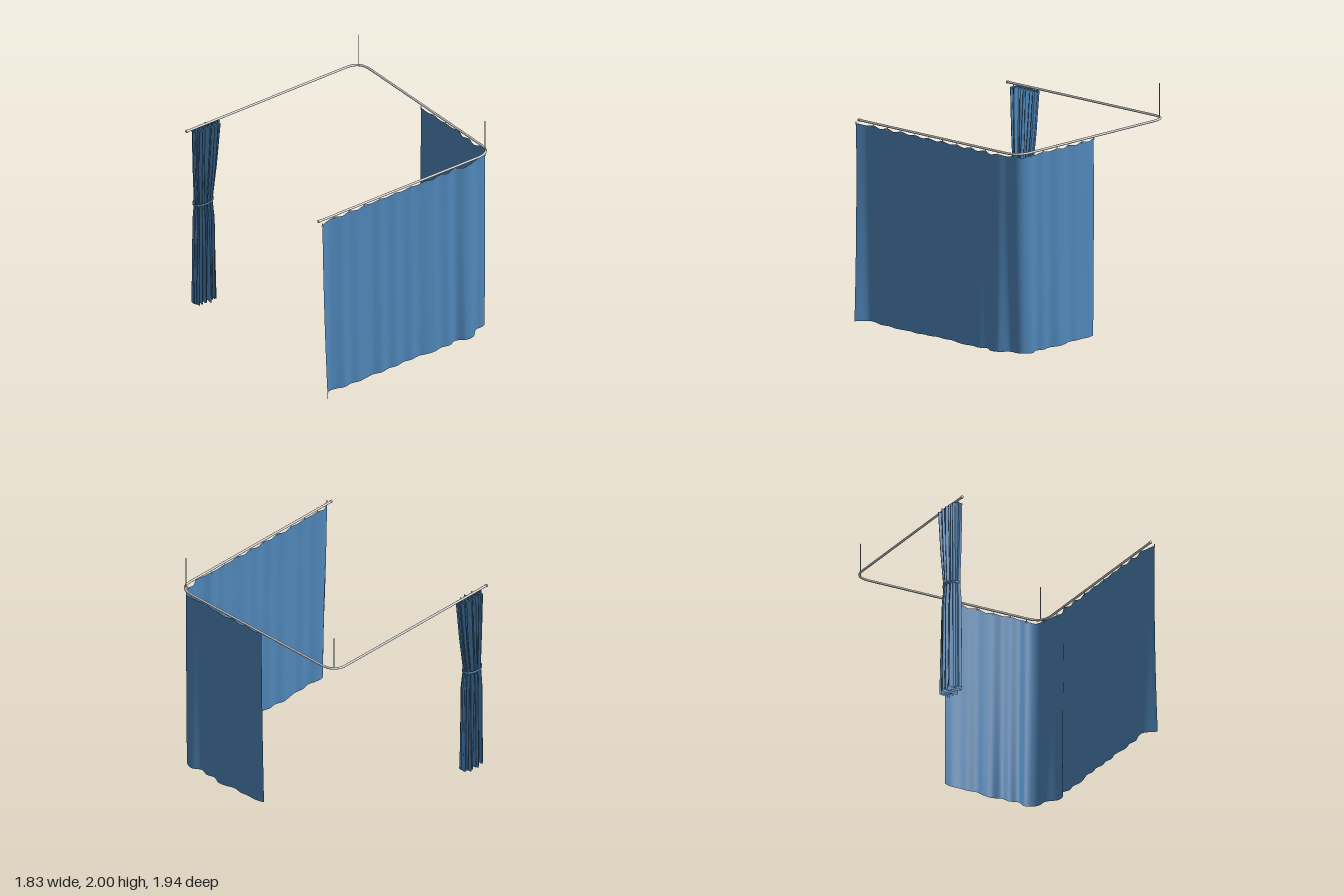
import * as THREE from 'three';

const V = (x, y, z) => new THREE.Vector3(x, y, z);
const RAIL_Y = 1.705, TOP = 1.685;

export function createModel() {
  const group = new THREE.Group();
  const grey = new THREE.MeshStandardMaterial({ color: 0xcccccc });
  const blue = new THREE.MeshStandardMaterial({ color: 0x5088bb, side: THREE.DoubleSide });

  const add = (name, geometry, material, parent = group) => {
    const mesh = new THREE.Mesh(geometry, material);
    mesh.name = name;
    parent.add(mesh);
    return mesh;
  };

  // Cloth sheet: u runs along the width, v from top (0) to hem (1)
  const sheet = (cols, rows, place) => {
    const geometry = new THREE.PlaneGeometry(1, 1, cols, rows);
    const pos = geometry.attributes.position;
    for (let i = 0; i < pos.count; i++) {
      const p = place(pos.getX(i) + 0.5, 0.5 - pos.getY(i));
      pos.setXYZ(i, p.x, p.y, p.z);
    }
    geometry.computeVertexNormals();
    return geometry;
  };

  // U-shaped ceiling rail with two rounded corners
  const path = new THREE.CurvePath();
  const line = (a, b) => path.add(new THREE.LineCurve3(a, b));
  const bend = (a, b, c) => path.add(new THREE.QuadraticBezierCurve3(a, b, c));
  const y = RAIL_Y;
  line(V(-0.92, y, 0.89), V(0.74, y, 0.89));
  bend(V(0.74, y, 0.89), V(0.88, y, 0.89), V(0.88, y, 0.75));
  line(V(0.88, y, 0.75), V(0.88, y, -0.76));
  bend(V(0.88, y, -0.76), V(0.88, y, -0.9), V(0.74, y, -0.9));
  line(V(0.74, y, -0.9), V(-0.92, y, -0.9));
  const railLength = path.getLength();
  add('rail', new THREE.TubeGeometry(path, 220, 0.01, 10), grey);
  for (const z of [0.89, -0.9]) {
    const cap = add('railEndCap', new THREE.CylinderGeometry(0.013, 0.013, 0.014, 16), grey);
    cap.rotation.z = Math.PI / 2;
    cap.position.set(-0.917, y, z);
  }

  // Ceiling rods at the corners
  for (const z of [0.85, -0.86]) {
    add('ceilingRod', new THREE.CylinderGeometry(0.004, 0.004, 0.3, 10), grey).position.set(0.842, 1.85, z);
  }

  // Hooks: a short stem and a small ring under the rail
  const addHook = (x, z, angle) => {
    const hook = new THREE.Group();
    hook.name = 'hook';
    add('hookStem', new THREE.CylinderGeometry(0.003, 0.003, 0.022, 6), grey, hook).position.y = 1.69;
    add('hookRing', new THREE.TorusGeometry(0.007, 0.002, 6, 12), grey, hook).position.y = 1.677;
    hook.position.set(x, 0, z);
    hook.rotation.y = angle;
    group.add(hook);
  };

  // Drawn curtain: distance of each fold from the rail, evenly spaced along it
  const folds = [
    0.085, -0.005, -0.008, 0.012, -0.004, 0.008, -0.004, -0.014, 0.006, -0.006, 0.008, -0.006,
    0.006, -0.008, 0.008, 0.012, -0.006, 0.008, -0.018, 0.03, 0.025, -0.045, -0.035, 0,
    0.02, -0.022, 0, -0.012, 0.022, 0.015, -0.008, 0.003, -0.008, -0.01, -0.035];
  const spans = folds.length - 1;
  const foldCurve = new THREE.CatmullRomCurve3(folds.map((o, i) => V(i, o, 0)), false, 'catmullrom', 0.5);
  const curtainPoint = (u, v) => {
    const start = 0.008 + 0.022 * v, end = 2.68 + 0.012 * v;
    const t = (start + (end - start) * u) / railLength;
    const p = path.getPointAt(t), d = path.getTangentAt(t);
    const o = foldCurve.getPoint(u).y * (0.5 + 0.5 * v * v);
    const sag = 0.014 * Math.sin(Math.PI * spans * u / 2) ** 2;
    const hem = 0.005 + 0.004 * Math.sin(u * 23) + 0.008 * Math.max(0, 1 - u * 12);
    return V(p.x - d.z * o, THREE.MathUtils.lerp(TOP - sag, hem, v), p.z + d.x * o);
  };
  add('drawnCurtain', sheet(spans * 8, 24, curtainPoint), blue);
  for (let i = 0; i <= spans; i += 2) {
    const p = curtainPoint(i / spans, 0);
    addHook(p.x, p.z, i > 22 ? Math.PI / 2 : 0);
  }

  // Gathered curtain: tight pleats, narrowest at the tie
  const pleats = 9, tieY = 0.97;
  const keys = [ // height, left edge x, right edge x, pleat depth
    [0, -0.85, -0.62, 0.074], [0.8, -0.845, -0.635, 0.068],
    [tieY, -0.835, -0.655, 0.054], [1.3, -0.85, -0.61, 0.06], [TOP, -0.86, -0.575, 0.064]];
  const gatherAt = (h) => {
    let k = 0;
    while (k < keys.length - 2 && h > keys[k + 1][0]) k++;
    const f = THREE.MathUtils.clamp((h - keys[k][0]) / (keys[k + 1][0] - keys[k][0]), 0, 1);
    return [1, 2, 3].map((j) => THREE.MathUtils.lerp(keys[k][j], keys[k + 1][j], f));
  };
  const gatherPoint = (u, v) => {
    const h = THREE.MathUtils.lerp(TOP, 0.01, v);
    const [x0, x1, depth] = gatherAt(h);
    const a = u * pleats * Math.PI * 2;
    const edge = Math.sqrt(1 - 0.65 * (2 * u - 1) ** 2);
    const vary = 0.86 + 0.14 * Math.sin(u * 31 + v * 2.5);
    const x = THREE.MathUtils.lerp(x0, x1, u) + 0.007 * Math.sin(2 * a) + 0.006 * Math.sin(u * 17 + v * 3) * edge;
    const lift = v * 0.009 * Math.sin(u * 40) - (1 - v) * 0.006 * Math.sin(a) ** 2;
    return V(x, h + lift, -0.9 + depth * edge * vary * Math.sin(a));
  };
  add('gatheredCurtain', sheet(pleats * 20, 28, gatherPoint), blue);
  for (let i = 0; i < pleats; i++) addHook(-0.85 + i * 0.034, -0.9, 0);

  // Tie band around the gathered curtain
  const tie = add('curtainTie', new THREE.CylinderGeometry(1, 1, 0.022, 40, 1, true), blue);
  tie.scale.set(0.1, 1, 0.06);
  tie.position.set(-0.745, tieY, -0.903);
  tie.rotation.z = 0.06;

  return group;
}
